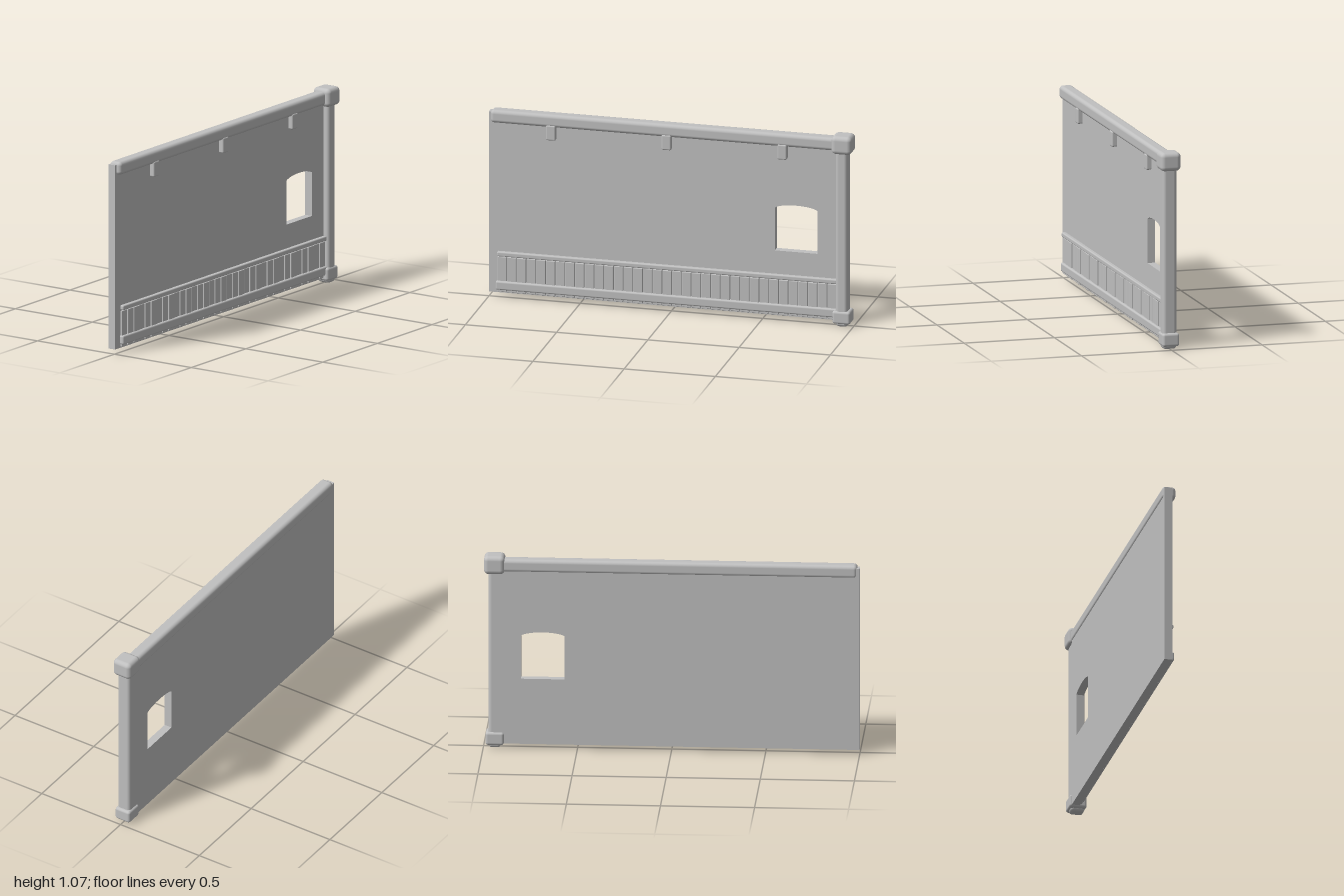
import * as THREE from 'three';
import { RoundedBoxGeometry } from 'three/addons/geometries/RoundedBoxGeometry.js';

export function createModel() {
  const group = new THREE.Group();
  const grey = new THREE.MeshStandardMaterial({ color: 0xc0c0c0 });
  grey.name = 'plain grey';

  function add(name, geometry) {
    const mesh = new THREE.Mesh(geometry, grey);
    mesh.name = name;
    group.add(mesh);
    return mesh;
  }

  // Rounded block given by its limits on each axis
  function block(name, [x0, x1], [y0, y1], [z0, z1], radius) {
    const geometry = new RoundedBoxGeometry(x1 - x0, y1 - y0, z1 - z0, 3, radius);
    add(name, geometry).position.set((x0 + x1) / 2, (y0 + y1) / 2, (z0 + z1) / 2);
  }

  // Wall panel with an arched window opening
  const wall = new THREE.Shape();
  wall.moveTo(-1, 0.028);
  wall.lineTo(0.95, 0.028);
  wall.lineTo(0.95, 1.035);
  wall.lineTo(-1, 1.035);
  wall.closePath();
  const opening = new THREE.Path();
  opening.moveTo(0.567, 0.39);
  opening.lineTo(0.567, 0.63);
  opening.bezierCurveTo(0.61, 0.656, 0.757, 0.656, 0.8, 0.63);
  opening.lineTo(0.8, 0.39);
  opening.closePath();
  wall.holes.push(opening);
  const wallGeometry = new THREE.ExtrudeGeometry(wall, { depth: 0.043, bevelEnabled: false, curveSegments: 16 });
  wallGeometry.translate(0, 0, -0.038);
  add('wall', wallGeometry);

  // Top beam and the small brackets hanging below it
  block('topBeam', [-0.987, 0.92], [0.979, 1.05], [-0.043, 0.03], 0.02);
  for (const x of [-0.655, -0.022, 0.612]) {
    block('bracket', [x - 0.026, x + 0.026], [0.908, 0.992], [-0.01, 0.032], 0.008);
  }

  // Corner post with its rounded foot, cap and base
  block('cornerPost', [0.907, 0.972], [0.002, 1.0], [-0.038, 0.039], 0.018);
  block('postCap', [0.886, 0.997], [0.968, 1.068], [-0.055, 0.056], 0.024);
  block('postBase', [0.89, 0.988], [0.018, 0.09], [-0.048, 0.045], 0.014);

  // Skirting planks, alternating slightly in depth
  const count = 35, start = -0.952, pitch = 1.862 / count;
  for (let i = 0; i < count; i++) {
    const x = start + i * pitch;
    const front = 0.014 + 0.002 * ((i * 7) % 3);
    block('plank', [x + 0.002, x + pitch - 0.002], [0.034, 0.23], [-0.005, front], 0.003);
  }

  // Rails above and across the foot of the planks
  block('skirtingTopRail', [-0.952, 0.912], [0.234, 0.26], [-0.01, 0.025], 0.007);
  block('skirtingBottomRail', [-0.958, 0.912], [0.048, 0.096], [-0.01, 0.029], 0.009);

  return group;
}
